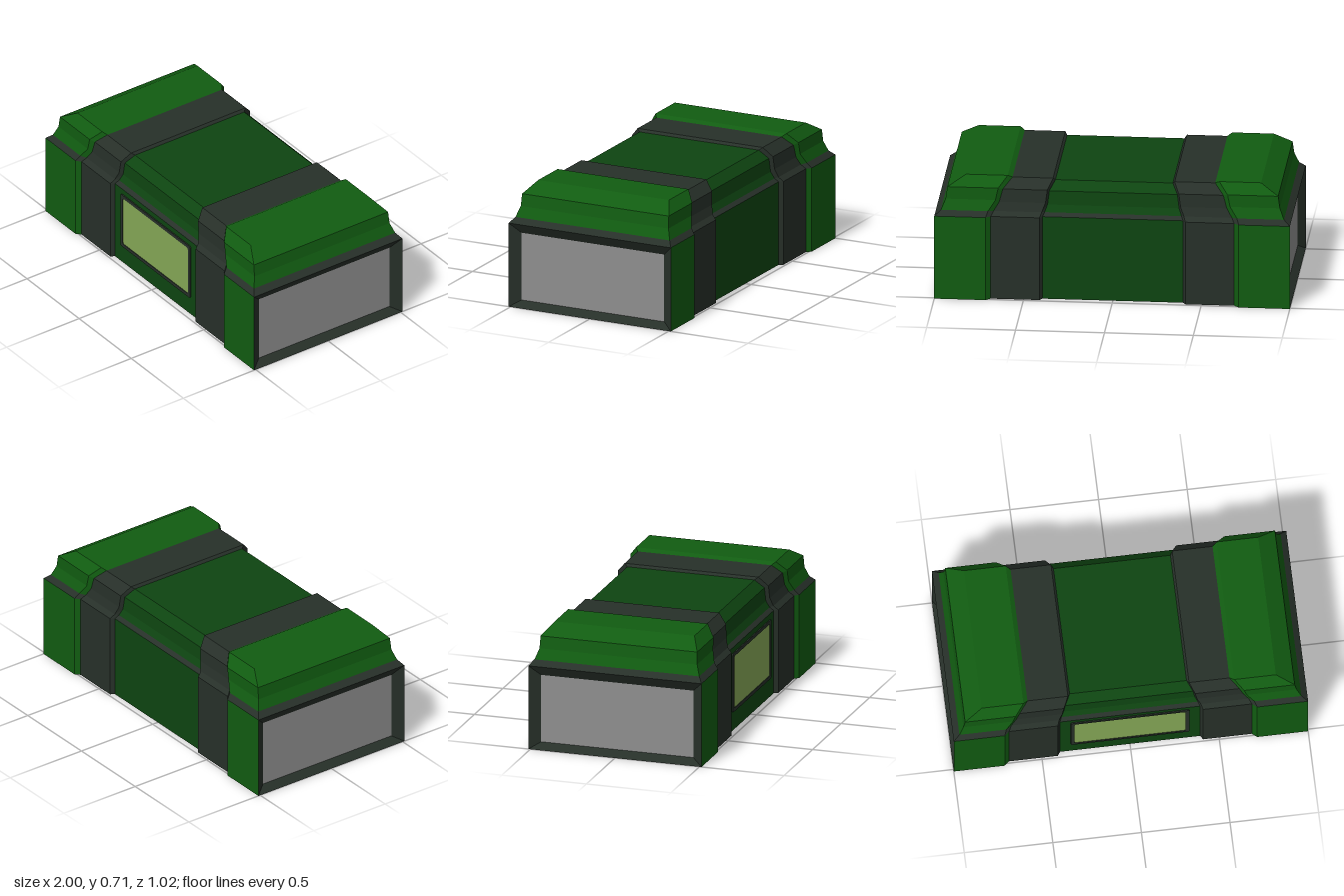
import * as THREE from 'three';

const mat = (name, color) => Object.assign(new THREE.MeshStandardMaterial({ color }), { name });

// Flat-shaded mesh from four-cornered faces, corners counter-clockwise from outside
function quadMesh(name, quads, material) {
  const pos = [];
  for (const [a, b, c, d] of quads) pos.push(...a, ...b, ...c, ...a, ...c, ...d);
  const g = new THREE.BufferGeometry();
  g.setAttribute('position', new THREE.Float32BufferAttribute(pos, 3));
  g.computeVertexNormals();
  const m = new THREE.Mesh(g, material);
  m.name = name;
  return m;
}

function roundedRect(w, h, r) {
  const s = new THREE.Shape();
  const x = w / 2, y = h / 2;
  s.absarc(x - r, y - r, r, 0, Math.PI / 2);
  s.absarc(-x + r, y - r, r, Math.PI / 2, Math.PI);
  s.absarc(-x + r, -y + r, r, Math.PI, Math.PI * 1.5);
  s.absarc(x - r, -y + r, r, Math.PI * 1.5, Math.PI * 2);
  s.closePath();
  return s;
}

// Front half of each cross-section: [height, depth], bottom to top
const CENTRE = [[0.003, 0.468], [0.49, 0.468], [0.51, 0.447], [0.55, 0.43], [0.63, 0.425], [0.68, 0.376]];
const STRAP = [[0.002, 0.49], [0.49, 0.49], [0.515, 0.465], [0.565, 0.45], [0.64, 0.445], [0.695, 0.395]];
const CAP = [[0, 0.512], [0.49, 0.512], [0.52, 0.487], [0.58, 0.466], [0.65, 0.463], [0.71, 0.413]];

// A closed ring of 12 points: up the front, then down the back
function ring(section, xs, side) {
  const front = section.map(([y, z], i) => [side * xs[i], y, z]);
  const back = front.map(([x, y, z]) => [x, y, -z]).reverse();
  return [...front, ...back];
}

export function createModel() {
  const group = new THREE.Group();
  const capGreen = mat('cap green', 0x115c11);
  const bodyGreen = mat('body green', 0x0e4511);
  const trim = mat('dark trim', 0x273029);
  const grey = mat('panel grey', 0x8e8e8e);
  const olive = mat('window olive', 0x86a856);

  // Section edges from the middle outward; the lid leans inward with height
  const edges = [
    [CENTRE, [0.395, 0.395, 0.385, 0.37, 0.36, 0.33]],
    [STRAP, [0.41, 0.41, 0.4, 0.38, 0.37, 0.342]],
    [STRAP, [0.685, 0.685, 0.67, 0.64, 0.62, 0.57]],
    [CAP, [0.712, 0.712, 0.7, 0.66, 0.645, 0.595]],
    [CAP, [1, 1, 0.965, 0.94, 0.93, 0.83]],
  ];
  const rings = [
    ...[...edges].reverse().map(([s, x]) => ring(s, x, -1)),
    ...edges.map(([s, x]) => ring(s, x, 1)),
  ];

  // Lengthwise strips of the shell, each with a dark seam where the lid meets the body
  const strips = [
    ['rightCap', capGreen], ['rightCapBevel', capGreen], ['rightStrap', trim], ['rightStrapBevel', trim],
    ['centreBody', bodyGreen],
    ['leftStrapBevel', trim], ['leftStrap', trim], ['leftCapBevel', capGreen], ['leftCap', capGreen],
  ];
  strips.forEach(([name, material], k) => {
    const a = rings[k], b = rings[k + 1];
    const shell = [], seam = [];
    for (let i = 0; i < 12; i++) {
      const j = (i + 1) % 12;
      (i === 1 || i === 9 ? seam : shell).push([a[i], b[i], b[j], a[j]]);
    }
    group.add(quadMesh(name, shell, material), quadMesh(name + 'Seam', seam, trim));
  });

  // Ends: sloping lid, seam, bevelled frame and recessed panel
  for (const side of [-1, 1]) {
    const label = side > 0 ? 'left' : 'right';
    const r = rings[side > 0 ? 9 : 0];
    const wind = (q) => (side > 0 ? q : [...q].reverse());
    const row = (i) => wind([r[i], r[11 - i], r[10 - i], r[i + 1]]);
    const rect = (x, z, y0, y1) => [[side * x, y0, z], [side * x, y0, -z], [side * x, y1, -z], [side * x, y1, z]];
    const outer = rect(1, 0.512, 0, 0.49);
    const inner = rect(0.96, 0.45, 0.037, 0.431);
    const frame = outer.map((p, i) => wind([p, outer[(i + 1) % 4], inner[(i + 1) % 4], inner[i]]));
    group.add(
      quadMesh(label + 'LidEnd', [2, 3, 4].map(row), capGreen),
      quadMesh(label + 'EndSeam', [row(1)], trim),
      quadMesh(label + 'EndFrame', frame, trim),
      quadMesh(label + 'EndPanel', [wind(inner)], grey),
    );
  }

  // Front window: thin frame around a thin pane
  const frameShape = roundedRect(0.67, 0.345, 0.012);
  frameShape.holes.push(roundedRect(0.626, 0.305, 0.012));
  const plate = (name, shape, depth, material) => {
    const m = new THREE.Mesh(new THREE.ExtrudeGeometry(shape, { depth, bevelEnabled: false, curveSegments: 3 }), material);
    m.name = name;
    m.position.set(0, 0.285, 0.467);
    group.add(m);
  };
  plate('windowFrame', frameShape, 0.008, trim);
  plate('windowPane', roundedRect(0.63, 0.31, 0.012), 0.004, olive);

  return group;
}
